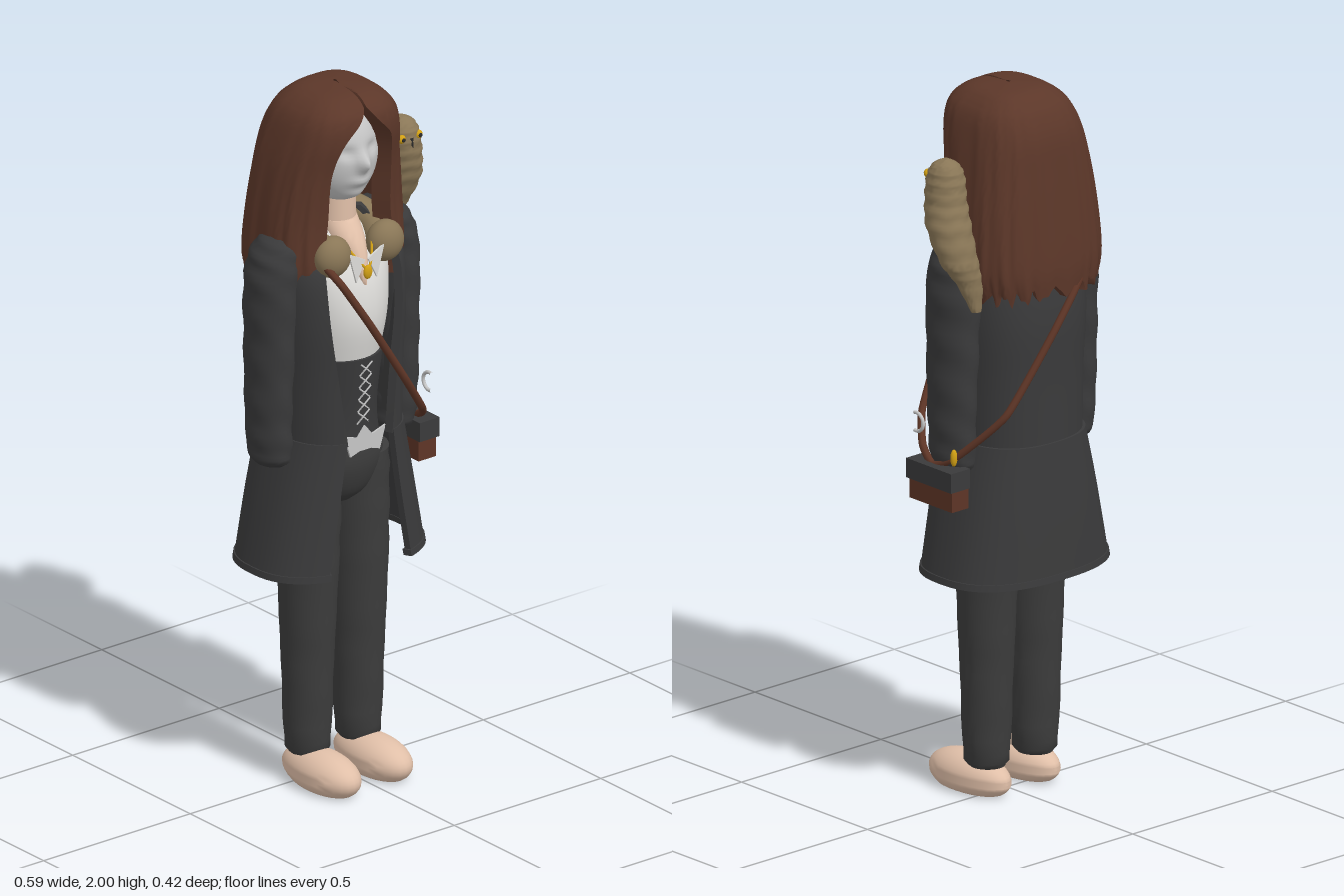
import * as THREE from 'three';
import { toCreasedNormals } from 'three/addons/utils/BufferGeometryUtils.js';

const mat = (name, color) => Object.assign(new THREE.MeshStandardMaterial({ color }), { name });
const V = (x, y, z) => new THREE.Vector3(x, y, z);
const MID = -0.018; // centre line of the figure

// Catmull-Rom value through four numbers
const spline = (a, b, c, d, t) =>
  b + 0.5 * t * (c - a + t * (2 * a - 5 * b + 4 * c - d + t * (3 * (b - c) + d - a)));

// Rows (bottom to top): [y, cx, cz, rx, rz, halfOpening]. With a wall thickness each
// section is a C open at the front, otherwise a full ring. n is the squareness.
function loft(rows, { n = 2, seg = 32, sub = 4, wall = 0, bend = null, crease = 0.9 } = {}) {
  const loops = [], last = rows.length - 1;
  for (let s = 0; s <= last * sub; s++) {
    const i = Math.min(Math.floor(s / sub), last - 1), f = s / sub - i;
    const R = k => rows[Math.min(Math.max(k, 0), last)];
    const [y, cx, cz, rx, rz, open = 0] = R(i).map((_, k) => spline(R(i - 1)[k], R(i)[k], R(i + 1)[k], R(i + 2)[k], f));
    const u = s / (last * sub), loop = [];
    const put = (t, ax, az) => {
      const a = Math.sin(t), b = Math.cos(t);
      const p = V(cx + ax * Math.sign(a) * Math.abs(a) ** (2 / n), y, cz + az * Math.sign(b) * Math.abs(b) ** (2 / n));
      if (bend) bend(p, u, t, cx, cz);
      loop.push(p);
    };
    if (wall) {
      const t0 = Math.asin(Math.min(0.98, Math.max(0.004, open) / rx) ** (n / 2));
      const at = k => t0 + (2 * Math.PI - 2 * t0) * k / seg;
      for (let k = 0; k <= seg; k++) put(at(k), rx, rz);
      for (let k = seg; k >= 0; k--) put(at(k), Math.max(rx - wall, rx * 0.3), Math.max(rz - wall, rz * 0.3));
    } else for (let k = 0; k < seg; k++) put(2 * Math.PI * k / seg, rx, rz);
    loops.push(loop);
  }
  const N = loops[0].length, pos = [], idx = [];
  loops.flat().forEach(p => pos.push(p.x, p.y, p.z));
  const quad = (a, b, c, d) => idx.push(a, b, c, a, c, d);
  for (let i = 0; i < loops.length - 1; i++) for (let j = 0; j < N; j++) {
    const k = (j + 1) % N;
    quad(i * N + j, i * N + k, (i + 1) * N + k, (i + 1) * N + j);
  }
  const top = (loops.length - 1) * N;
  for (let k = 0; k < N / 2 - 1; k++) {
    quad(top + k, top + k + 1, top + N - 2 - k, top + N - 1 - k);
    quad(N - 1 - k, N - 2 - k, k + 1, k);
  }
  const g = new THREE.BufferGeometry();
  g.setAttribute('position', new THREE.Float32BufferAttribute(pos, 3));
  g.setIndex(idx);
  return toCreasedNormals(g, crease);
}

const tube = (pts, r, seg = 40, sides = 8, tension = 0.5, closed = false) =>
  new THREE.TubeGeometry(new THREE.CatmullRomCurve3(pts.map(p => V(...p)), closed, 'catmullrom', tension), seg, r, sides, closed);
const ball = (rx, ry, rz) => new THREE.SphereGeometry(1, 28, 20).scale(rx, ry, rz);
const plate = (pts, depth = 0.006) => new THREE.ExtrudeGeometry(
  new THREE.Shape(pts.map(p => new THREE.Vector2(...p))), { depth, bevelEnabled: false });

export function createModel() {
  const coat = mat('coat charcoal', 0x3a3a3b), cloth = mat('trouser charcoal', 0x3c3c3c);
  const hairM = mat('hair brown', 0x5c3729), skin = mat('skin', 0xe0bfa8), shirtM = mat('shirt white', 0xdddcd9);
  const grey = mat('pale grey', 0xc6c6c6), fur = mat('feather tan', 0x8a7757), gold = mat('gold', 0xd2a014);
  const leather = mat('leather brown', 0x5e3526), dark = mat('dark', 0x2a2a2a);
  const model = new THREE.Group(), body = new THREE.Group();
  body.name = 'figure';
  body.position.x = MID;
  model.add(body);
  const add = (name, g, m, parent = body, x = 0, y = 0, z = 0) => {
    const o = new THREE.Mesh(g, m);
    o.name = name;
    o.position.set(x, y, z);
    parent.add(o);
    return o;
  };

  // Feet, legs and sleeves on both sides
  for (const s of [1, -1]) {
    const side = s > 0 ? 'left' : 'right';
    const foot = ball(0.071, 0.062, 0.145), p = foot.attributes.position;
    for (let i = 0; i < p.count; i++) {
      const z = p.getZ(i);
      p.setX(i, p.getX(i) * (1 + z * 0.6));
      p.setY(i, Math.max(-0.04, p.getY(i) * (1 + z * 0.4)));
    }
    add(side + 'Foot', toCreasedNormals(foot, 0.8), skin, body, s * 0.088, 0.04, 0.065);
    add(side + 'Leg', loft([
      [0.08, s * 0.086, 0.005, 0.045, 0.05], [0.12, s * 0.086, 0.005, 0.062, 0.064],
      [0.35, s * 0.086, 0.005, 0.07, 0.074], [0.6, s * 0.085, 0.005, 0.079, 0.088],
      [0.8, s * 0.082, 0, 0.084, 0.1], [0.93, s * 0.08, 0, 0.08, 0.105]],
      { bend: (q, u, t) => { q.x += 0.002 * Math.sin(u * 50 + t); q.z += 0.002 * Math.sin(u * 43 + t); } }), cloth);
    add(side + 'Sleeve', loft([
      [0.945, s * 0.205, 0, 0.03, 0.04], [0.975, s * 0.21, 0, 0.052, 0.068], [1.1, s * 0.215, 0, 0.055, 0.075],
      [1.3, s * 0.212, 0, 0.06, 0.082], [1.48, s * 0.205, 0, 0.066, 0.085], [1.57, s * 0.18, 0, 0.065, 0.075],
      [1.615, s * 0.15, 0, 0.04, 0.045]],
      { sub: 8, bend: (q, u, t, cx) => { q.x += (q.x - cx) * 0.05 * Math.sin(u * 60 + t); q.z *= 1 + 0.03 * Math.sin(u * 55 + 2 * t); } }), coat);
    add(side + 'FurLobe', ball(0.055, 0.058, 0.045), fur, body, s * 0.09, 1.55, 0.115);
    add(side + 'CollarPoint', plate(s > 0 ? [[0.005, 1.53], [0.035, 1.47], [0.06, 1.56]] : [[-0.005, 1.53], [-0.06, 1.56], [-0.035, 1.47]]),
      shirtM, body, 0, 0, 0.145);
  }
  add('hips', loft([[0.8, 0, 0, 0.05, 0.06], [0.84, 0, 0, 0.11, 0.1], [0.92, 0, 0, 0.145, 0.125], [1.0, 0, 0, 0.12, 0.12]]), cloth);

  // Torso: corset, shirt, chest and neck
  add('corset', loft([[0.97, 0, 0, 0.13, 0.126], [1.08, 0, 0, 0.115, 0.13], [1.24, 0, 0, 0.13, 0.148]]), coat);
  add('shirt', loft([[1.23, 0, 0, 0.122, 0.138], [1.34, 0, 0, 0.142, 0.158], [1.44, 0, 0, 0.155, 0.148],
    [1.52, 0, 0, 0.15, 0.115], [1.6, 0, 0, 0.07, 0.06]]), shirtM);
  add('chest', loft([[1.455, 0, 0.125, 0.006, 0.025], [1.51, 0, 0.08, 0.035, 0.062], [1.57, 0, 0.05, 0.05, 0.068], [1.62, 0, 0.02, 0.053, 0.06]]), skin);
  add('neck', new THREE.CylinderGeometry(0.052, 0.056, 0.2, 24), skin, body, 0, 1.62, 0.02);
  add('beltBuckle', plate([[-0.07, 1.03], [-0.025, 1.015], [0, 1.045], [0.025, 1.015], [0.07, 1.03],
    [0.05, 0.965], [0.02, 0.975], [-0.02, 0.975], [-0.05, 0.965]]), grey, body, 0, 0, 0.138);
  for (let i = 0; i < 5; i++) for (const s of [1, -1])
    add('corsetLace', tube([[-s * 0.02, 1.05 + i * 0.036, 0.134 + i * 0.003], [s * 0.02, 1.085 + i * 0.036, 0.137 + i * 0.003]], 0.0025, 2, 5), grey);

  // Long open coat
  add('coatBody', loft([
    [1.01, 0, 0, 0.18, 0.175, 0.075], [1.2, 0, 0, 0.185, 0.175, 0.1], [1.36, 0, 0, 0.195, 0.178, 0.122],
    [1.5, 0, 0, 0.195, 0.158, 0.125], [1.58, 0, -0.01, 0.165, 0.11, 0.1], [1.63, 0, -0.02, 0.095, 0.075, 0.07]],
    { n: 2.4, seg: 48, wall: 0.022 }), coat);
  const skirt = [[0.64, 0, -0.01, 0.265, 0.192, 0.14], [0.84, 0, -0.008, 0.225, 0.185, 0.105], [1.02, 0, -0.003, 0.184, 0.178, 0.078]];
  add('coatSkirt', loft(skirt, { n: 2.5, seg: 48, wall: 0.016 }), coat);
  add('coatHem', loft([[0.637, 0, -0.01, 0.269, 0.196, 0.137], [0.655, 0, -0.01, 0.266, 0.194, 0.134]],
    { n: 2.5, seg: 48, wall: 0.022, sub: 1 }), coat);
  add('furCollar', tube([[-0.09, 1.54, 0.11], [-0.105, 1.58, 0.03], [-0.06, 1.61, -0.06], [0, 1.62, -0.08],
    [0.06, 1.61, -0.06], [0.105, 1.58, 0.03], [0.09, 1.54, 0.11]], 0.045, 40, 14), fur);

  // Necklace
  add('necklaceChain', tube([[-0.045, 1.57, 0.115], [-0.02, 1.525, 0.145], [0, 1.505, 0.153], [0.02, 1.525, 0.145], [0.045, 1.57, 0.115]], 0.004, 20, 6), gold);
  add('pendant', ball(0.014, 0.02, 0.008), gold, body, 0, 1.495, 0.155);

  // Head with nose, lips, chin and eye hollows
  const head = new THREE.SphereGeometry(1, 64, 48).scale(0.106, 0.143, 0.108), hp = head.attributes.position;
  const bump = (x, y, cx, cy, w, h) => Math.exp(-(((x - cx) / w) ** 2) - ((y - cy) / h) ** 2);
  for (let i = 0; i < hp.count; i++) {
    const x = hp.getX(i), y = hp.getY(i), z = hp.getZ(i);
    if (z > 0) hp.setZ(i, z + 0.03 * bump(x, y, 0, -0.008, 0.016, 0.026) + 0.012 * bump(x, y, 0, -0.065, 0.03, 0.014)
      + 0.012 * bump(x, y, 0, -0.11, 0.035, 0.02)
      - 0.012 * (bump(x, y, 0.042, 0.025, 0.024, 0.016) + bump(x, y, -0.042, 0.025, 0.024, 0.016)));
  }
  head.computeVertexNormals();
  add('head', head, grey, body, 0, 1.812, 0.028);

  // Long parted hair with wavy strands and a ragged lower edge
  add('hair', loft([
    [1.45, 0, -0.035, 0.198, 0.162, 0.148], [1.52, 0, -0.035, 0.212, 0.165, 0.122], [1.65, 0, -0.032, 0.205, 0.158, 0.106],
    [1.78, 0, -0.02, 0.187, 0.158, 0.102], [1.87, 0.002, -0.005, 0.168, 0.162, 0.082], [1.93, 0.004, 0.006, 0.148, 0.15, 0.03],
    [1.965, 0.006, 0.01, 0.12, 0.125, 0.004], [1.988, 0.01, 0.005, 0.08, 0.085, 0.003], [1.996, 0.012, 0, 0.015, 0.018, 0.001]],
    { n: 2.9, seg: 120, sub: 5, wall: 0.05, crease: 1.2, bend: (q, u, t, cx, cz) => {
      const k = 1 + (0.012 * Math.sin(t * 17 + u * 5) + 0.008 * Math.sin(t * 31 - u * 4)) * (1 - u);
      q.x = cx + (q.x - cx) * k;
      q.z = cz + (q.z - cz) * k;
      q.y += (0.014 * Math.sin(t * 23) + 0.01 * Math.sin(t * 41)) * (1 - u) ** 5;
    } }), hairM);

  // Owl on the left shoulder
  const owl = new THREE.Group();
  owl.name = 'owl';
  model.add(owl);
  add('owlBody', loft([
    [1.42, 0.2, -0.1, 0.015, 0.012], [1.5, 0.21, -0.085, 0.04, 0.03], [1.56, 0.23, -0.065, 0.054, 0.048],
    [1.65, 0.235, -0.03, 0.06, 0.062], [1.72, 0.228, -0.01, 0.054, 0.06], [1.78, 0.222, -0.003, 0.05, 0.054],
    [1.815, 0.222, -0.003, 0.036, 0.038], [1.832, 0.222, -0.003, 0.008, 0.008]],
    { sub: 8, bend: (q, u, t, cx, cz) => {
      const k = 1 + 0.035 * Math.sin(u * 75 + 0.6 * Math.sin(t * 6)) * (u < 0.85 ? 1 : 0);
      q.x = cx + (q.x - cx) * k;
      q.z = cz + (q.z - cz) * k;
    } }), fur, owl);
  for (const x of [0.188, 0.245]) {
    add('owlEye', ball(0.012, 0.012, 0.01), gold, owl, x, 1.785, 0.042);
    add('owlPupil', ball(0.006, 0.006, 0.004), dark, owl, x, 1.785, 0.051);
  }
  add('owlBeak', new THREE.ConeGeometry(0.009, 0.028, 10).rotateX(Math.PI * 0.85), dark, owl, 0.217, 1.768, 0.05);

  // Shoulder bag, its strap and trinkets
  const bag = new THREE.Group();
  bag.name = 'bag';
  model.add(bag);
  add('bagBody', new THREE.BoxGeometry(0.06, 0.08, 0.168), leather, bag, 0.238, 0.9, 0.005);
  add('bagFlap', new THREE.BoxGeometry(0.068, 0.055, 0.178), coat, bag, 0.242, 0.945, 0.005);
  add('strap', tube([[-0.145, 1.54, 0.12], [-0.125, 1.49, 0.18], [-0.045, 1.36, 0.202], [0.07, 1.18, 0.2], [0.16, 1.06, 0.16],
    [0.225, 1.0, 0.085], [0.245, 0.965, 0.02], [0.225, 1.0, -0.05], [0.15, 1.13, -0.165], [0, 1.35, -0.195], [-0.12, 1.5, -0.175],
    [-0.16, 1.61, -0.02]], 0.0105, 120, 8, 0.25, true), leather, bag);
  add('bagClasp', ball(0.01, 0.024, 0.009), gold, bag, 0.235, 1.0, -0.05);
  add('crescentCharm', new THREE.TorusGeometry(0.026, 0.005, 8, 20, Math.PI * 1.2).rotateZ(Math.PI * 0.4).rotateY(-Math.PI / 2),
    grey, bag, 0.256, 1.075, 0.075);
  return model;
}
